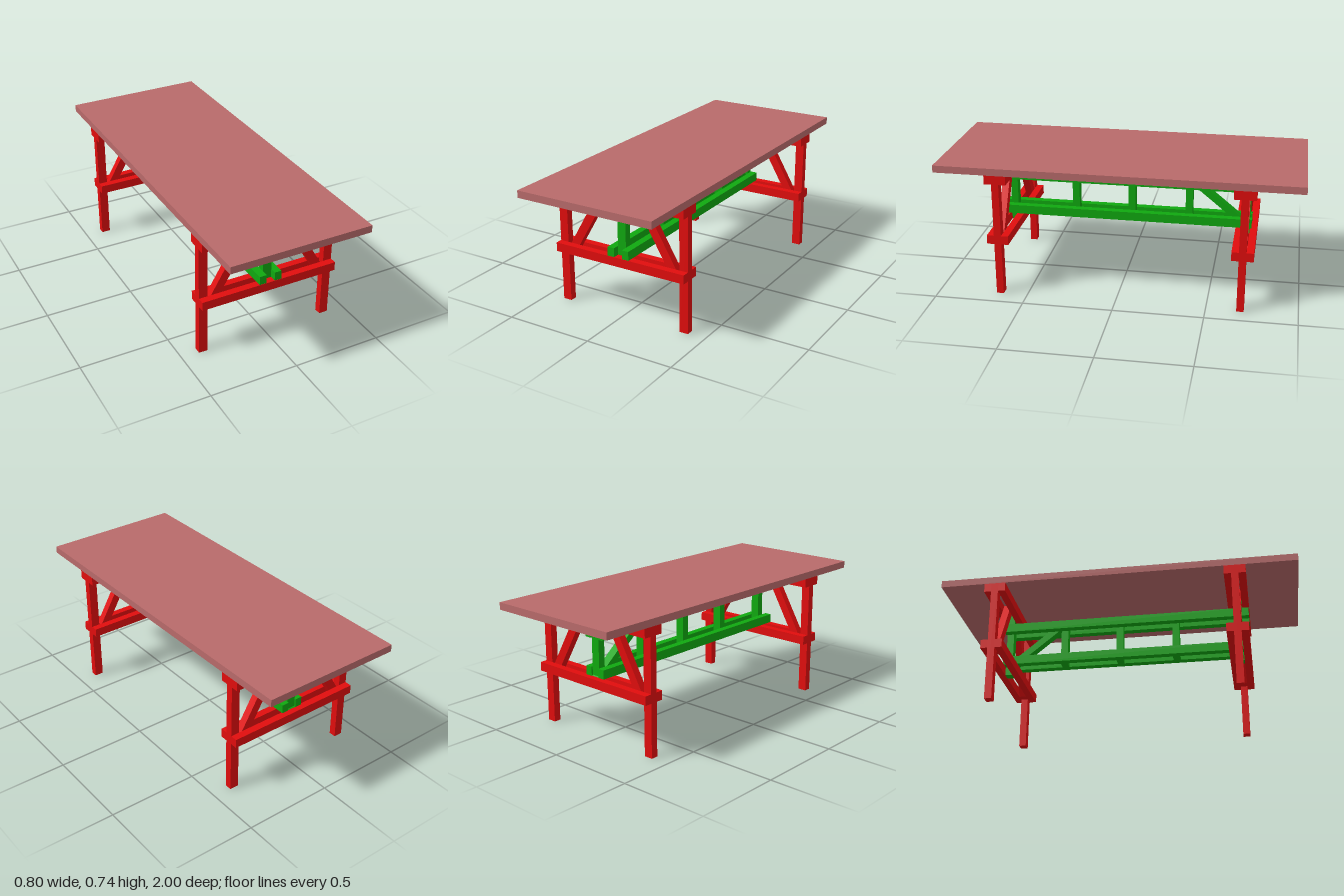
import * as THREE from 'three';

const material = (color) => new THREE.MeshStandardMaterial({ color });

// Box given by its min/max extents on each axis
function beam(parent, name, mat, [x0, x1], [y0, y1], [z0, z1]) {
  const mesh = new THREE.Mesh(new THREE.BoxGeometry(x1 - x0, y1 - y0, z1 - z0), mat);
  mesh.position.set((x0 + x1) / 2, (y0 + y1) / 2, (z0 + z1) / 2);
  mesh.name = name;
  parent.add(mesh);
  return mesh;
}

// Slanted brace: parallelogram with level ends, extruded about its own plane
function brace(parent, name, mat, bottom, top, [y0, y1], width, depth) {
  const shape = new THREE.Shape([
    new THREE.Vector2(bottom, y0), new THREE.Vector2(bottom + width, y0),
    new THREE.Vector2(top + width, y1), new THREE.Vector2(top, y1),
  ]);
  const geo = new THREE.ExtrudeGeometry(shape, { depth, bevelEnabled: false });
  geo.translate(0, 0, -depth / 2);
  const mesh = new THREE.Mesh(geo, mat);
  mesh.name = name;
  parent.add(mesh);
  return mesh;
}

export function createModel() {
  const table = new THREE.Group();
  table.name = 'trestleTable';
  const red = material(0xe00d0d);
  const green = material(0x10a810);
  const wood = material(0xb86a6a);
  const trestleZ = [0.655, -0.687];
  const T = 0.02; // half thickness of the boards

  beam(table, 'tableTop', wood, [-0.4, 0.4], [0.7, 0.74], [-1, 1]);

  // End trestles: legs and braces clamped between paired rails
  trestleZ.forEach((z, i) => {
    const trestle = new THREE.Group();
    trestle.name = i ? 'backTrestle' : 'frontTrestle';
    trestle.position.z = z;
    for (const side of [-1, 1]) {
      const label = side > 0 ? 'left' : 'right';
      beam(trestle, label + 'Leg', red, side > 0 ? [0.35, 0.4] : [-0.4, -0.35], [0, 0.7], [-T, T]);
      const b = brace(trestle, label + 'Brace', red, -0.359, -0.126, [0.3, 0.7], 0.056, 2 * T);
      if (side > 0) b.rotation.y = Math.PI;
      const railZ = side > 0 ? [T, 3 * T] : [-3 * T, -T];
      const face = side > 0 ? 'front' : 'back';
      beam(trestle, face + 'UpperRail', red, [-0.4, 0.4], [0.65, 0.7], railZ);
      beam(trestle, face + 'LowerRail', red, [-0.4, 0.4], [0.3, 0.35], railZ);
    }
    beam(trestle, 'centrePost', green, [-0.025, 0.025], [0.3, 0.7], [-T, T]);
    table.add(trestle);
  });

  // Long truss joining the trestles
  const truss = new THREE.Group();
  truss.name = 'truss';
  for (const x of [[-0.065, -0.025], [0.025, 0.065]]) {
    beam(truss, 'upperStringer', green, x, [0.56, 0.61], [-0.715, 0.713]);
    beam(truss, 'lowerStringer', green, x, [0.35, 0.4], [-0.715, 0.713]);
  }
  for (const z of [0.291, -0.034, -0.36])
    beam(truss, 'trussPost', green, [-0.025, 0.025], [0.35, 0.61], [z - T, z + T]);

  // Diagonal at the back end, turned so its profile lies along z
  const diagonal = brace(truss, 'trussBrace', green, 0.655, 0.335, [0.35, 0.61], 0.058, 0.05);
  diagonal.rotation.y = Math.PI / 2;
  table.add(truss);

  return table;
}
